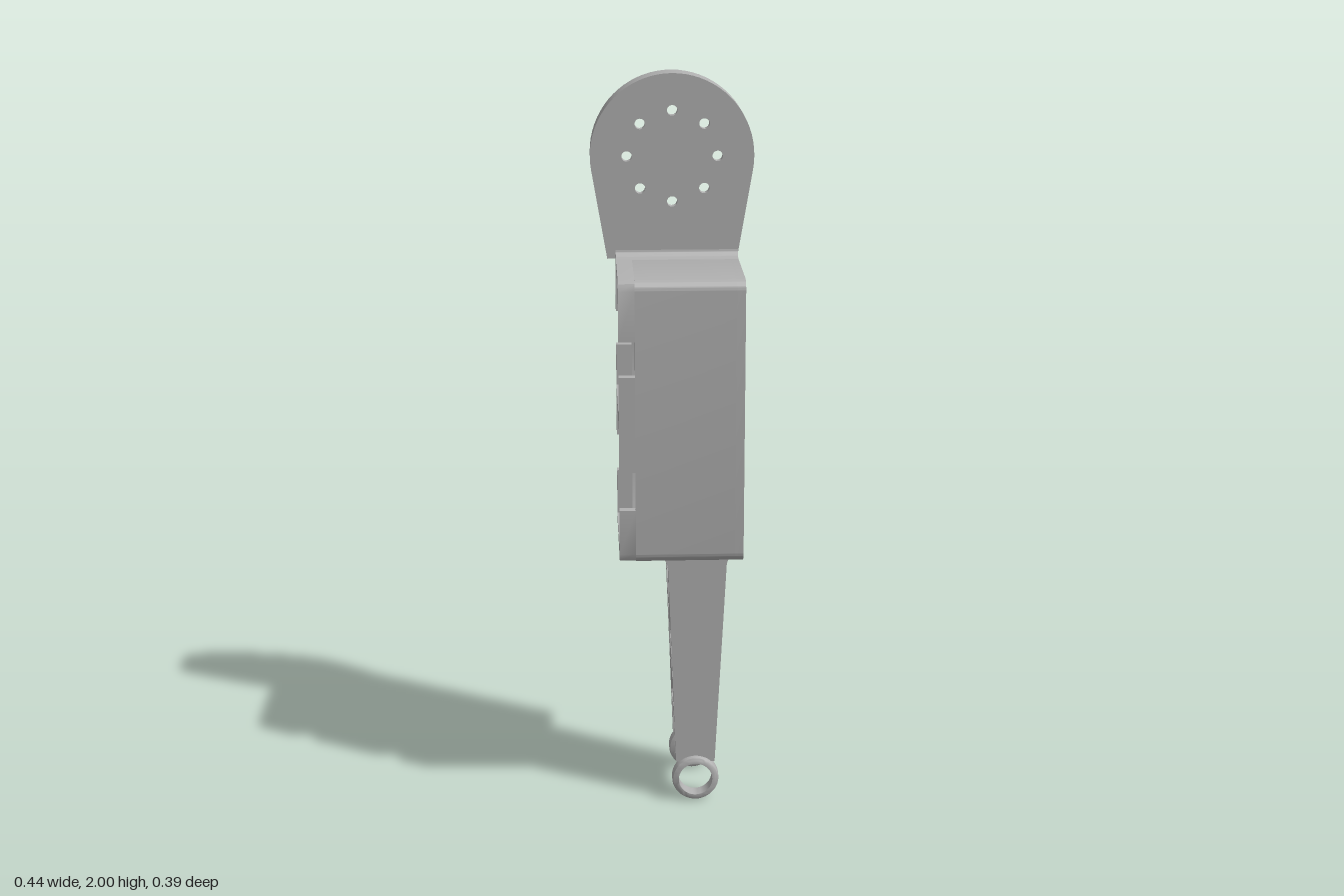
import * as THREE from 'three';
import { toCreasedNormals } from 'three/addons/utils/BufferGeometryUtils.js';

const grey = new THREE.MeshStandardMaterial({ color: 0xb0b0b0 });
grey.name = 'plain grey';

const poly = (pts, Type = THREE.Shape) => new Type(pts.map(([x, y]) => new THREE.Vector2(x, y)));
const circle = (x, y, r) => new THREE.Path().absarc(x, y, r, 0, Math.PI * 2, true);

// Rounded rectangle; rl and rr are the corner radii at the left and right
function roundRect(x0, y0, x1, y1, rl, rr = rl, Type = THREE.Shape) {
  const s = new Type(), h = Math.PI / 2;
  s.absarc(x1 - rr, y0 + rr, rr, -h, 0);
  s.absarc(x1 - rr, y1 - rr, rr, 0, h);
  s.absarc(x0 + rl, y1 - rl, rl, h, 2 * h);
  s.absarc(x0 + rl, y0 + rl, rl, 2 * h, 3 * h);
  s.closePath();
  return s;
}

// Extrude an x-y shape from z0 to z1
function alongZ(shape, z0, z1) {
  const g = new THREE.ExtrudeGeometry(shape, { depth: z1 - z0, bevelEnabled: false, curveSegments: 20 });
  return g.translate(0, 0, z0);
}
// Extrude a shape drawn in (-z, y) from x0 to x1
const alongX = (shape, x0, x1) => alongZ(shape, x0, x1).rotateY(Math.PI / 2);

export function createModel() {
  const model = new THREE.Group();
  const add = (name, geo, parent = model) => {
    const m = new THREE.Mesh(toCreasedNormals(geo, 0.6), grey);
    m.name = name;
    parent.add(m);
    return m;
  };

  // Housing: two open compartments
  const housing = new THREE.Group();
  housing.name = 'housing';
  model.add(housing);
  const tube = roundRect(-0.192, 0.735, 0.192, 1.505, 0.028, 0.012);
  for (const [y0, y1] of [[0.76, 1.105], [1.135, 1.48]])
    tube.holes.push(roundRect(-0.168, y0, 0.168, y1, 0.02, 0.02, THREE.Path));
  add('housingWalls', alongX(tube, -0.11, 0.155), housing);

  // Notched rim at the open side
  const o = 0.192, i = 0.168;
  add('rimTop', alongX(poly([[-o, 1.345], [-i, 1.345], [-i, 1.48], [i, 1.48], [i, 1.345], [o, 1.345],
    [o, 1.505], [-0.165, 1.505], [-0.184, 1.497], [-o, 1.478]]), -0.153, -0.11), housing);
  add('rimMiddle', alongX(poly([[-o, 0.99], [-i, 0.99], [-i, 1.105], [i, 1.105], [i, 0.99], [o, 0.99],
    [o, 1.25], [i, 1.25], [i, 1.135], [-i, 1.135], [-i, 1.25], [-o, 1.25]]), -0.153, -0.11), housing);
  add('rimBottom', alongX(poly([[-o, 0.885], [-o, 0.762], [-0.184, 0.743], [-0.165, 0.735], [0.181, 0.735],
    [o, 0.746], [o, 0.885], [i, 0.885], [i, 0.76], [-i, 0.76], [-i, 0.885]]), -0.153, -0.11), housing);

  // Face plate with two windows and screw holes
  const face = roundRect(-0.192, 0.735, 0.192, 1.505, 0.028, 0.012);
  const holes = [];
  for (const cy of [0.9375, 1.2975]) {
    const w = 0.167, h = 0.1425;
    face.holes.push(poly([[-w, -h + 0.045], [-0.133, -h + 0.045], [-0.086, -h], [0.086, -h],
      [0.133, -h + 0.045], [w, -h + 0.045], [w, h - 0.045], [0.133, h - 0.045], [0.086, h],
      [-0.086, h], [-0.133, h - 0.045], [-w, h - 0.045]].map(([x, y]) => [x, y + cy]), THREE.Path));
    for (const u of [-0.128, 0.128]) for (const s of [-1, 1]) holes.push([u, cy + s * 0.127]);
  }
  holes.forEach(([u, y]) => face.holes.push(circle(u, y, 0.014)));
  add('facePlate', alongX(face, 0.155, 0.178), housing);

  // Screw bosses
  for (const [u, y] of holes) {
    if ((y > 1.12) !== (u > 0)) continue;
    const ring = new THREE.Shape().absarc(u, y, 0.026, 0, Math.PI * 2);
    ring.holes.push(circle(u, y, 0.014));
    add('screwBoss', alongX(ring, 0.158, 0.179), housing);
  }

  // Round mounting head, recessed at the back in three layers
  const head = new THREE.Group();
  head.name = 'mountingHead';
  model.add(head);
  const cy = 1.78, t = 9.8 * Math.PI / 180;
  const bolts = r => Array.from({ length: 8 }, (_, k) =>
    circle(0.122 * Math.cos(k * Math.PI / 4), cy + 0.122 * Math.sin(k * Math.PI / 4), r));
  const layer = (name, z0, z1, cuts) => {
    const s = new THREE.Shape();
    s.moveTo(-0.176, 1.503);
    s.lineTo(0.176, 1.503);
    s.absarc(0, cy, 0.22, -t, Math.PI + t);
    s.closePath();
    s.holes.push(...cuts);
    add(name, alongZ(s, z0, z1), head);
  };
  layer('headFront', -0.14, -0.112, bolts(0.014));
  layer('headBoltRing', -0.168, -0.14, [circle(0, cy, 0.086), ...bolts(0.025)]);
  layer('headBackRim', -0.195, -0.168, [circle(0, cy, 0.158)]);

  // Fillet between head and housing
  const fillet = new THREE.Shape();
  fillet.moveTo(0.113, 1.5);
  fillet.lineTo(0.113, 1.535);
  fillet.quadraticCurveTo(0.112, 1.505, 0.082, 1.505);
  fillet.lineTo(0.082, 1.5);
  add('headFillet', alongX(fillet, -0.153, 0.178), head);

  // Arm: tapered cross-braced frame
  const arm = new THREE.Group();
  arm.name = 'arm';
  model.add(arm);
  const frame = poly([[-0.11, 0.115], [-0.085, 0.115], [-0.085, 0.235], [0.085, 0.235], [0.085, 0.115],
    [0.11, 0.115], [0.11, 0.735], [-0.11, 0.735]]);
  frame.holes.push(poly([[-0.072, 0.68], [0.072, 0.68], [0, 0.525]], THREE.Path));
  frame.holes.push(poly([[-0.072, 0.257], [0, 0.42], [0.072, 0.257]], THREE.Path));
  for (const s of [-1, 1])
    frame.holes.push(poly([[0.092, 0.35], [0.092, 0.59], [0.066, 0.59], [0.012, 0.472], [0.066, 0.35]]
      .map(([u, y]) => [u * s, y]), THREE.Path));
  const frameGeo = alongX(frame, -1, 1);
  const p = frameGeo.attributes.position;
  for (let k = 0; k < p.count; k++) {
    const f = (p.getY(k) - 0.115) / 0.565;
    p.setX(k, 0.055 + 0.004 * f + p.getX(k) * (0.054 + 0.025 * f));
  }
  add('armFrame', frameGeo, arm);
  add('armWeb', new THREE.BoxGeometry(0.03, 0.48, 0.2).translate(0.057, 0.485, 0), arm);
  add('armCrossbar', new THREE.BoxGeometry(0.085, 0.085, 0.175).translate(0.055, 0.1975, 0), arm);

  // Flared root under the housing
  const root = new THREE.Shape();
  root.moveTo(-0.085, 0.737);
  root.quadraticCurveTo(-0.022, 0.735, -0.021, 0.684);
  root.lineTo(0.138, 0.684);
  root.quadraticCurveTo(0.136, 0.73, 0.176, 0.737);
  add('armRoot', alongZ(root, -0.112, 0.112), arm);

  // Fork eyes with rounded outer edges
  for (const s of [-1, 1]) {
    const profile = [[0.047, -0.021], [0.056, -0.021], [0.062, -0.017], [0.065, -0.009], [0.065, 0.009],
      [0.062, 0.017], [0.056, 0.021], [0.047, 0.021], [0.047, -0.021]].map(([r, y]) => new THREE.Vector2(r, y));
    const eye = new THREE.LatheGeometry(profile, 40).rotateX(Math.PI / 2);
    add(s > 0 ? 'frontEye' : 'backEye', eye.translate(0.055, 0.067, s * 0.104), arm);
  }
  return model;
}
